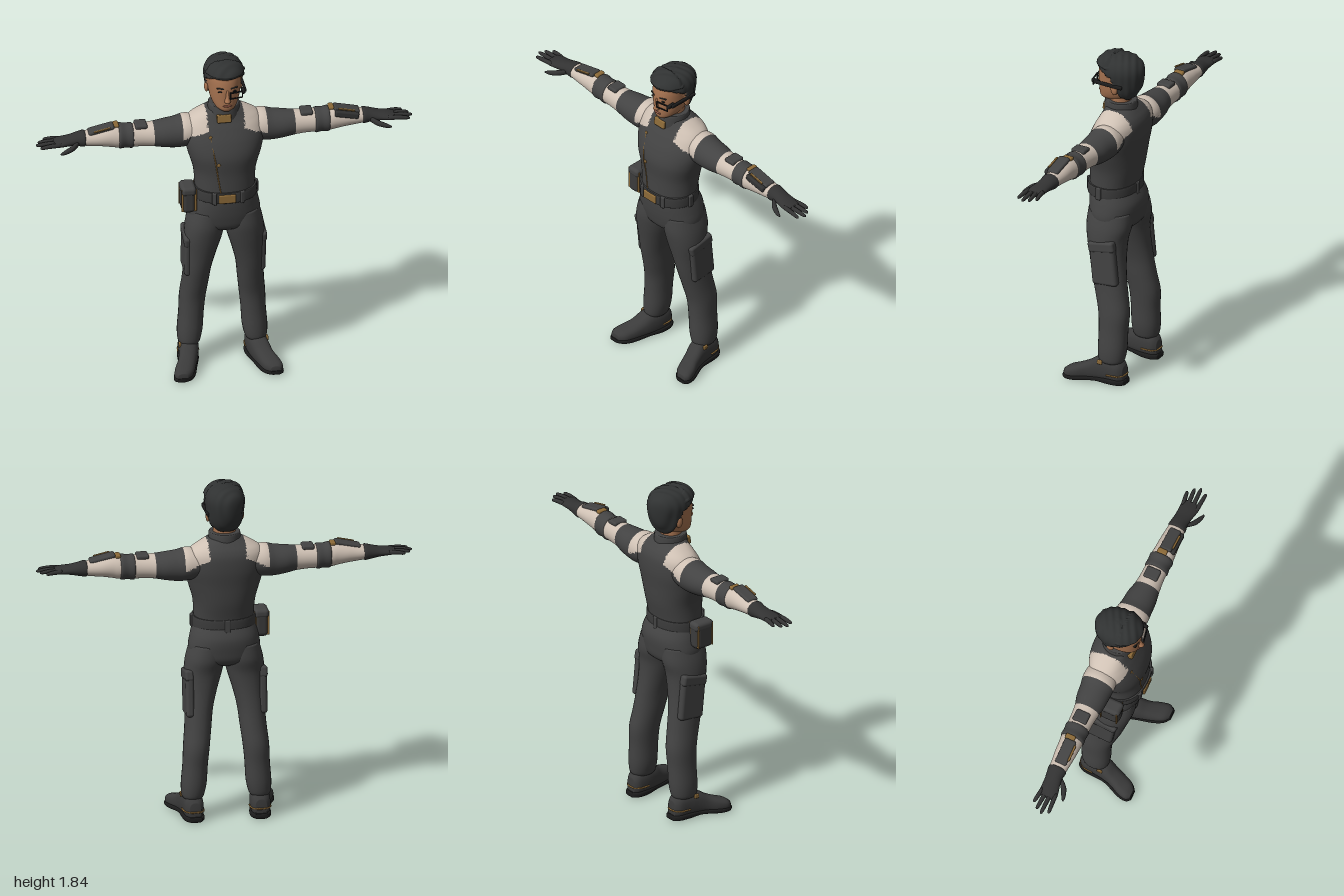
import * as THREE from 'three';
import { RoundedBoxGeometry } from 'three/addons/geometries/RoundedBoxGeometry.js';

const material = (name, color) => Object.assign(new THREE.MeshStandardMaterial({ color }), { name });
const SUIT = material('charcoal cloth', 0x434343);
const CREAM = material('cream panel', 0xcfc1b4);
const GOLD = material('dull gold', 0x8c6a38);
const SKIN = material('skin', 0xa87451);
const HAIR = material('dark hair', 0x303232);
const BOOT = material('boot leather', 0x3b3b3b);
const GLOVE = material('glove', 0x323232);
const LIP = material('lips', 0x8a5342);
const BLACK = material('black', 0x1d1d1d);

// Catmull-Rom blend of four rows of numbers
const blend = (a, b, c, d, t) => b.map((_, k) => 0.5 * (2 * b[k] + (c[k] - a[k]) * t
  + (2 * a[k] - 5 * b[k] + 4 * c[k] - d[k]) * t * t + (3 * b[k] - a[k] - 3 * c[k] + d[k]) * t * t * t));

// Smooth closed loft along an axis (0 x, 1 y, 2 z). Row: [along, u, v, radiusU, radiusV],
// where u and v are the next two axes in x-y-z-x order.
function loft(axis, rows, { steps = 5, seg = 28, power = 2 } = {}) {
  const rings = [];
  const at = i => rows[Math.min(Math.max(i, 0), rows.length - 1)];
  for (let i = 0; i < rows.length - 1; i++)
    for (let s = 0; s < steps; s++) rings.push(blend(at(i - 1), at(i), at(i + 1), at(i + 2), s / steps));
  rings.push(at(rows.length));
  const pos = [], index = [];
  const put = (t, u, v) => {
    const p = [];
    p[axis] = t; p[(axis + 1) % 3] = u; p[(axis + 2) % 3] = v;
    pos.push(...p);
  };
  const soft = c => Math.sign(c) * Math.abs(c) ** (2 / power);
  for (const [t, u, v, ru, rv] of rings)
    for (let j = 0; j < seg; j++) {
      const a = j / seg * Math.PI * 2;
      put(t, u + ru * soft(Math.cos(a)), v + rv * soft(Math.sin(a)));
    }
  const n = rings.length, first = n * seg, end = rings[n - 1];
  put(...rings[0].slice(0, 3));
  put(...end.slice(0, 3));
  for (let j = 0; j < seg; j++) {
    const k = (j + 1) % seg;
    for (let i = 0; i < n - 1; i++) {
      const a = i * seg + j, b = i * seg + k;
      index.push(a, b, b + seg, a, b + seg, a + seg);
    }
    index.push(first, k, j, first + 1, (n - 1) * seg + j, (n - 1) * seg + k);
  }
  const g = new THREE.BufferGeometry();
  g.setAttribute('position', new THREE.Float32BufferAttribute(pos, 3));
  g.setIndex(index);
  g.computeVertexNormals();
  return g;
}

// Sort faces into material groups by a rule on the face centre
function paint(g, count, rule) {
  const bins = Array.from({ length: count }, () => []), p = g.attributes.position, ix = g.index.array;
  const mid = (t, k) => (p.getComponent(ix[t], k) + p.getComponent(ix[t + 1], k) + p.getComponent(ix[t + 2], k)) / 3;
  for (let t = 0; t < ix.length; t += 3)
    bins[rule(mid(t, 0), mid(t, 1), mid(t, 2))].push(ix[t], ix[t + 1], ix[t + 2]);
  g.setIndex(bins.flat());
  let start = 0;
  bins.forEach((b, m) => { g.addGroup(start, b.length, m); start += b.length; });
  return g;
}

// Mirror across x, keeping faces outward
function mirror(g) {
  const m = g.clone().scale(-1, 1, 1);
  const ix = m.index ? [...m.index.array] : [...Array(m.attributes.position.count).keys()];
  for (let t = 0; t < ix.length; t += 3) [ix[t + 1], ix[t + 2]] = [ix[t + 2], ix[t + 1]];
  m.setIndex(ix);
  return m;
}

const box = (w, h, d, x, y, z, { rx = 0, ry = 0, rz = 0, r = 0.006 } = {}) =>
  new RoundedBoxGeometry(w, h, d, 2, r).rotateX(rx).rotateY(ry).rotateZ(rz).translate(x, y, z);
const ball = (a, b, c, x, y, z) => new THREE.SphereGeometry(1, 16, 12).scale(a, b, c).translate(x, y, z);
const tube = (points, r) => new THREE.TubeGeometry(
  new THREE.CatmullRomCurve3(points.map(p => new THREE.Vector3(...p))), 24, r, 6);

const onYoke = (x, y) => Math.abs(x) > 0.098 && Math.abs(x) < 0.225 && y > 1.455 - (Math.abs(x) - 0.09) * 0.48;

// Lower edge of the hair for a given depth
function hairLine(z) {
  const pts = [[-0.2, 1.58], [-0.1, 1.58], [-0.06, 1.63], [-0.035, 1.68], [-0.015, 1.73], [0.06, 1.762], [0.2, 1.765]];
  const i = pts.findIndex(p => z < p[0]);
  const [a, b] = [pts[Math.max(i - 1, 0)], pts[Math.max(i, 1)]];
  return a[1] + (b[1] - a[1]) * (z - a[0]) / (b[0] - a[0]);
}

export function createModel() {
  const model = new THREE.Group();
  model.name = 'uniformedMan';
  const add = (name, g, mat) => {
    const mesh = new THREE.Mesh(g, mat);
    mesh.name = name;
    model.add(mesh);
  };
  const pair = (name, g, mat) => {
    add('left' + name, g, mat);
    add('right' + name, mirror(g), mat);
  };

  // Jacket with pale shoulder yoke
  const torso = loft(1, [[1.04, 0, 0, 0.122, 0.155], [1.1, 0, 0, 0.125, 0.158], [1.2, -0.01, 0, 0.135, 0.166],
    [1.3, -0.013, 0, 0.143, 0.194], [1.38, -0.027, 0, 0.138, 0.212], [1.45, -0.042, 0, 0.122, 0.208],
    [1.49, -0.047, 0, 0.105, 0.185], [1.52, -0.043, 0, 0.088, 0.14], [1.545, -0.035, 0, 0.075, 0.09]],
  { steps: 8, seg: 72, power: 2.2 });
  add('jacket', paint(torso, 2, (x, y) => onYoke(x, y) ? 1 : 0), [SUIT, CREAM]);
  add('jacketSeam', tube([[-0.09, 1.43, 0.081], [-0.07, 1.3, 0.123], [-0.055, 1.2, 0.119], [-0.04, 1.1, 0.123]], 0.0035), GOLD);
  for (const [x, y, z] of [[-0.088, 1.42, 0.084], [-0.052, 1.275, 0.128]])
    add('jacketStud', ball(0.01, 0.01, 0.004, x, y, z), GOLD);
  add('collar', loft(1, [[1.49, -0.032, 0, 0.09, 0.095], [1.53, -0.03, 0, 0.09, 0.086], [1.57, -0.03, 0, 0.086, 0.083],
    [1.576, -0.03, 0, 0.08, 0.077]]), SUIT);
  add('collarClasp', box(0.075, 0.045, 0.03, -0.012, 1.515, 0.054, { rx: -0.15 }), GOLD);

  // Belt, buckle, loops and hip pouch
  add('belt', loft(1, [[1.045, 0.003, 0, 0.128, 0.162], [1.05, 0.003, 0, 0.134, 0.168], [1.1, 0.003, 0, 0.134, 0.168],
    [1.105, 0.003, 0, 0.128, 0.162]], { seg: 48, power: 2.2 }), BOOT);
  add('buckle', box(0.09, 0.05, 0.014, -0.008, 1.073, 0.136), GOLD);
  pair('FrontLoop', box(0.025, 0.07, 0.014, 0.075, 1.073, 0.126, { ry: 0.35 }), SUIT);
  pair('SideLoop', box(0.014, 0.07, 0.03, 0.169, 1.073, 0.01), SUIT);
  add('backLoop', box(0.03, 0.07, 0.014, 0, 1.073, -0.131), SUIT);
  add('pouch', box(0.075, 0.15, 0.11, -0.2, 1.042, 0.02, { r: 0.025 }), BOOT);
  add('pouchFlap', box(0.08, 0.05, 0.116, -0.2, 1.095, 0.02, { r: 0.02 }), SUIT);
  for (const z of [-0.025, 0.065]) add('pouchTrim', box(0.082, 0.13, 0.006, -0.2, 1.043, z, { r: 0.002 }), GOLD);

  // Trousers
  add('hips', loft(1, [[0.835, -0.02, 0, 0.06, 0.06], [0.87, -0.02, 0, 0.115, 0.165], [0.93, -0.018, 0, 0.132, 0.19],
    [1.0, -0.015, 0, 0.138, 0.18], [1.06, -0.002, 0, 0.127, 0.163]], { seg: 40, power: 2.2 }), SUIT);
  pair('TrouserLeg', loft(1, [[0.12, -0.078, 0.178, 0.062, 0.052], [0.14, -0.078, 0.177, 0.073, 0.06],
    [0.2, -0.08, 0.172, 0.079, 0.067], [0.3, -0.081, 0.165, 0.08, 0.066], [0.4, -0.08, 0.158, 0.086, 0.069],
    [0.5, -0.06, 0.147, 0.09, 0.07], [0.6, -0.04, 0.138, 0.095, 0.073], [0.7, -0.025, 0.125, 0.1, 0.084],
    [0.8, -0.015, 0.112, 0.11, 0.1], [0.88, -0.018, 0.1, 0.124, 0.103], [0.96, -0.018, 0.09, 0.12, 0.09]],
  { power: 2.15 }), SUIT);
  pair('CargoPocket', box(0.045, 0.23, 0.15, 0.194, 0.68, -0.04, { rx: 0.1, r: 0.018 }), SUIT);
  pair('PocketFlap', box(0.048, 0.06, 0.155, 0.196, 0.785, -0.028, { rx: 0.2, r: 0.015 }), SUIT);

  // Boots
  pair('Boot', loft(2, [[-0.158, 0.175, 0.06, 0.03, 0.045], [-0.13, 0.177, 0.07, 0.05, 0.068],
    [-0.07, 0.18, 0.075, 0.054, 0.073], [-0.01, 0.19, 0.07, 0.052, 0.068], [0.04, 0.205, 0.054, 0.05, 0.052],
    [0.09, 0.225, 0.043, 0.053, 0.041], [0.135, 0.24, 0.036, 0.048, 0.033], [0.16, 0.247, 0.03, 0.026, 0.022]],
  { power: 2.5 }), BOOT);
  pair('Sole', loft(2, [[-0.165, 0.175, 0.016, 0.034, 0.014], [-0.13, 0.177, 0.017, 0.054, 0.017],
    [-0.07, 0.181, 0.017, 0.056, 0.017], [0.0, 0.194, 0.018, 0.051, 0.013], [0.09, 0.225, 0.014, 0.058, 0.014],
    [0.14, 0.241, 0.015, 0.05, 0.013], [0.165, 0.248, 0.017, 0.027, 0.01]], { power: 4 }), BLACK);
  pair('HeelTrim', tube([[0.234, 0.055, -0.075], [0.226, 0.056, -0.13], [0.2, 0.057, -0.157], [0.175, 0.057, -0.161],
    [0.15, 0.057, -0.157], [0.127, 0.056, -0.13], [0.126, 0.055, -0.075]], 0.005), GOLD);
  pair('BootBuckle', box(0.012, 0.025, 0.03, 0.232, 0.122, -0.035), GOLD);

  // Sleeves
  const sleeve = loft(0, [[0.12, 1.41, -0.05, 0.07, 0.08], [0.2, 1.41, -0.05, 0.088, 0.09], [0.26, 1.403, -0.047, 0.083, 0.085],
    [0.32, 1.403, -0.045, 0.075, 0.08], [0.375, 1.405, -0.042, 0.067, 0.069], [0.43, 1.406, -0.042, 0.063, 0.063],
    [0.485, 1.407, -0.042, 0.063, 0.061], [0.56, 1.411, -0.041, 0.064, 0.061], [0.6, 1.415, -0.04, 0.061, 0.058],
    [0.65, 1.415, -0.04, 0.052, 0.055], [0.7, 1.413, -0.04, 0.044, 0.05], [0.76, 1.413, -0.04, 0.036, 0.045]],
  { steps: 8, seg: 40 });
  pair('Sleeve', paint(sleeve, 2, (x, y) =>
    onYoke(x, y) || (x > 0.375 && x < 0.485) || x > 0.56 ? 1 : 0), [SUIT, CREAM]);
  pair('ElbowPad', loft(0, [[0.482, 1.407, -0.042, 0.06, 0.058], [0.49, 1.407, -0.042, 0.069, 0.066],
    [0.522, 1.409, -0.042, 0.066, 0.063], [0.553, 1.411, -0.041, 0.07, 0.066], [0.563, 1.411, -0.041, 0.06, 0.058]]), SUIT);
  pair('UpperArmPad', box(0.065, 0.024, 0.08, 0.44, 1.466, -0.042, { r: 0.01 }), SUIT);
  pair('ForearmPlate', box(0.14, 0.022, 0.065, 0.652, 1.464, -0.035, { rz: -0.22, r: 0.01 }), SUIT);
  pair('ForearmClasp', box(0.03, 0.02, 0.055, 0.572, 1.476, -0.045, { r: 0.008 }), GOLD);
  pair('ForearmStrip', box(0.09, 0.008, 0.012, 0.65, 1.473, 0.0, { rz: -0.22, r: 0.003 }), GOLD);
  add('wristDevice', box(0.13, 0.035, 0.03, 0.65, 1.447, 0.003, { rz: -0.2, r: 0.01 }), GLOVE);

  // Gloves
  pair('Glove', loft(0, [[0.735, 1.413, -0.04, 0.036, 0.044], [0.745, 1.413, -0.04, 0.043, 0.05], [0.78, 1.412, -0.04, 0.036, 0.045],
    [0.82, 1.41, -0.035, 0.027, 0.045], [0.87, 1.408, -0.029, 0.02, 0.05], [0.905, 1.406, -0.028, 0.013, 0.047]]), GLOVE);
  for (const [z0, z1, tip] of [[-0.066, -0.078, 0.955], [-0.041, -0.049, 0.985], [-0.015, -0.018, 1], [0.01, 0.018, 0.982]]) {
    const z = t => z0 + (z1 - z0) * t, x = t => 0.87 + (tip - 0.87) * t;
    pair('Finger', loft(0, [[x(0), 1.409, z(0), 0.012, 0.012], [x(0.5), 1.409, z(0.5), 0.012, 0.0115],
      [x(0.9), 1.405, z(0.9), 0.009, 0.009], [x(1), 1.404, z(1), 0.003, 0.003]], { steps: 3, seg: 10 }), GLOVE);
  }
  pair('Thumb', loft(0, [[0.775, 1.402, -0.01, 0.016, 0.016], [0.81, 1.393, 0.025, 0.016, 0.017],
    [0.855, 1.383, 0.046, 0.012, 0.012], [0.88, 1.378, 0.053, 0.004, 0.004]], { seg: 12 }), GLOVE);

  // Head, with the hair raised above the skin
  add('neck', loft(1, [[1.5, -0.035, 0, 0.06, 0.064], [1.56, -0.03, 0, 0.057, 0.06], [1.64, -0.03, 0, 0.058, 0.06]]), SKIN);
  const head = loft(1, [[1.566, 0.042, 0, 0.034, 0.026], [1.58, 0.022, 0, 0.065, 0.05], [1.6, 0.001, 0, 0.09, 0.066],
    [1.64, -0.016, 0, 0.108, 0.08], [1.7, -0.024, 0, 0.119, 0.088], [1.755, -0.029, 0, 0.117, 0.092],
    [1.79, -0.03, 0, 0.102, 0.08], [1.81, -0.03, 0, 0.074, 0.057], [1.822, -0.03, 0, 0.02, 0.015]],
  { steps: 10, seg: 72, power: 2.1 });
  paint(head, 2, (x, y, z) => y > hairLine(z) ? 1 : 0);
  const p = head.attributes.position, nor = head.attributes.normal;
  for (let i = 0; i < p.count; i++) {
    const y = p.getY(i), z = p.getZ(i);
    if (y < hairLine(z)) continue;
    const lift = 0.013 + (y > 1.77 && z > 0 ? 0.008 : 0) + 0.002 * Math.sin(z * 160 + p.getX(i) * 90);
    p.setXYZ(i, p.getX(i) + nor.getX(i) * lift, y + nor.getY(i) * lift, z + nor.getZ(i) * lift);
  }
  head.computeVertexNormals();
  add('head', head, [SKIN, HAIR]);

  // Face
  pair('Ear', ball(0.012, 0.032, 0.02, 0.09, 1.665, -0.04), SKIN);
  add('nose', loft(1, [[1.63, 0.09, 0, 0.012, 0.014], [1.638, 0.095, 0, 0.021, 0.017], [1.66, 0.092, 0, 0.016, 0.01],
    [1.7, 0.088, 0, 0.01, 0.008]], { seg: 14 }), SKIN);
  pair('Eye', ball(0.014, 0.005, 0.005, 0.036, 1.692, 0.085), BLACK);
  pair('Eyebrow', box(0.04, 0.007, 0.008, 0.037, 1.712, 0.086, { ry: 0.3, rz: 0.08, r: 0.003 }), HAIR);
  add('mouth', ball(0.024, 0.006, 0.007, 0, 1.607, 0.09), LIP);

  // Single-eye viewer with its side arm
  const frame = new THREE.Shape([[-0.036, -0.02], [0.036, -0.02], [0.036, 0.02], [-0.036, 0.02]].map(q => new THREE.Vector2(...q)));
  frame.holes.push(new THREE.Path([[-0.031, -0.015], [-0.031, 0.013], [0.031, 0.013], [0.031, -0.015]].map(q => new THREE.Vector2(...q))));
  add('viewerFrame', new THREE.ExtrudeGeometry(frame, { depth: 0.006, bevelEnabled: false })
    .rotateY(0.2).translate(0.046, 1.675, 0.098), BLACK);
  add('viewerHinge', box(0.018, 0.022, 0.045, 0.086, 1.686, 0.075), BLACK);
  add('viewerArm', box(0.014, 0.02, 0.17, 0.097, 1.686, -0.005), BLACK);

  return model;
}
